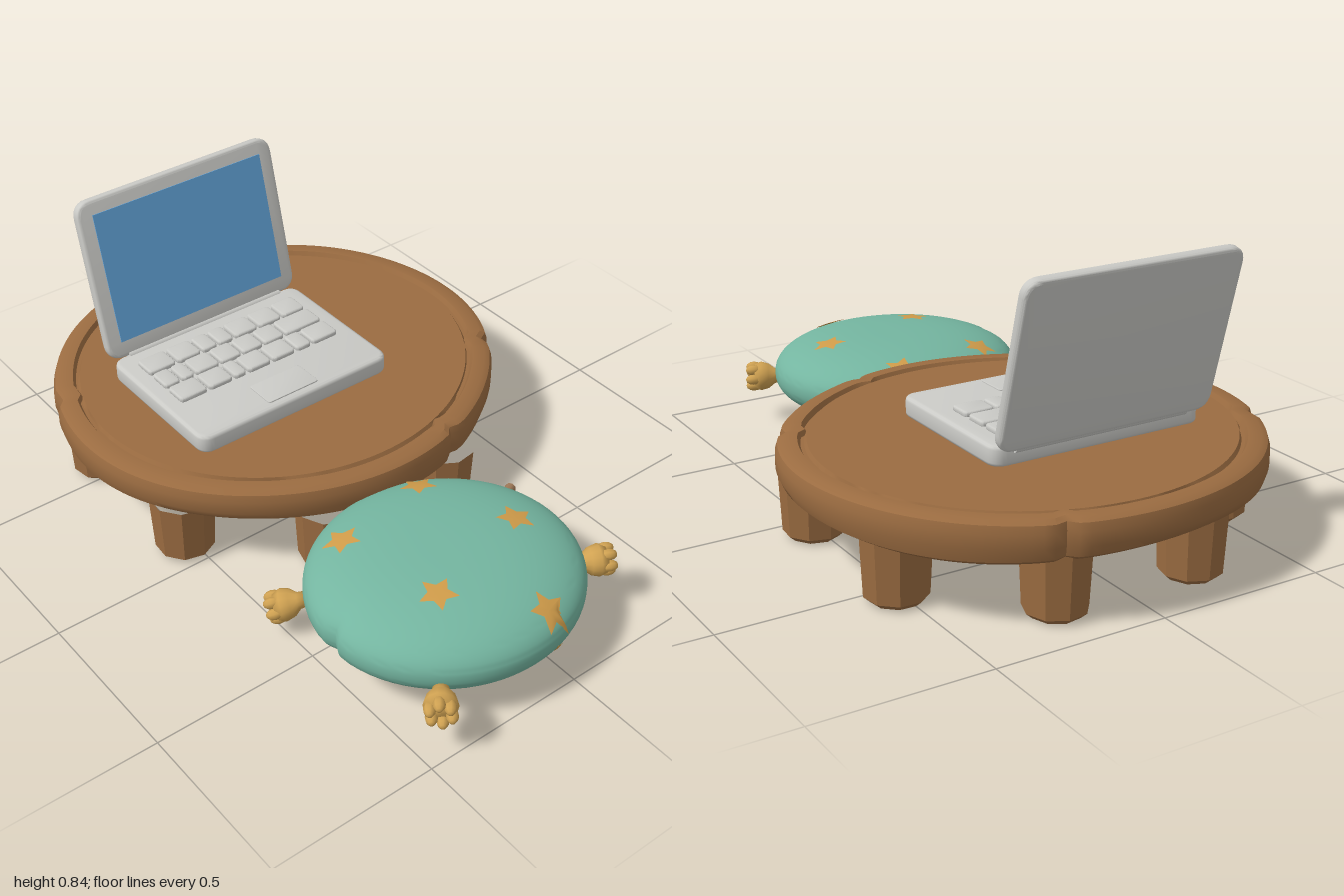
import * as THREE from 'three';
import { toCreasedNormals } from 'three/addons/utils/BufferGeometryUtils.js';

const mat = (name, color, side = THREE.FrontSide) => {
  const m = new THREE.MeshStandardMaterial({ color, side });
  m.name = name;
  return m;
};

export function createModel() {
  const wood = mat('wood', 0x9b6c41);
  const shell = mat('pale grey shell', 0xcacac6);
  const glass = mat('screen blue', 0x64a6dc);
  const fabric = mat('teal fabric', 0x74b5a0);
  const starGold = mat('star gold', 0xd09c4a, THREE.DoubleSide);
  const gold = mat('tassel gold', 0xd0a252);
  const cord = mat('cord brown', 0xa07a58);
  const model = new THREE.Group();

  const add = (parent, name, geometry, material, x = 0, y = 0, z = 0) => {
    const mesh = new THREE.Mesh(geometry, material);
    mesh.name = name;
    mesh.position.set(x, y, z);
    parent.add(mesh);
    return mesh;
  };
  const group = (parent, name, x, y, z) => {
    const g = new THREE.Group();
    g.name = name;
    g.position.set(x, y, z);
    parent.add(g);
    return g;
  };
  const lathe = (pts, segments) =>
    new THREE.LatheGeometry(pts.map(([x, y]) => new THREE.Vector2(x, y)), segments);
  const edit = (geometry, rule) => {
    const p = geometry.attributes.position;
    const v = new THREE.Vector3();
    for (let i = 0; i < p.count; i++) {
      v.fromBufferAttribute(p, i);
      rule(v, i);
      p.setXYZ(i, v.x, v.y, v.z);
    }
    geometry.computeVertexNormals();
    return geometry;
  };

  // Rounded slab centred in x and y, filling z from 0 to depth
  const slab = (w, h, depth, r, bevel) => {
    const a = w / 2 - bevel, b = h / 2 - bevel, s = new THREE.Shape();
    s.moveTo(-a + r, -b);
    s.lineTo(a - r, -b).quadraticCurveTo(a, -b, a, -b + r);
    s.lineTo(a, b - r).quadraticCurveTo(a, b, a - r, b);
    s.lineTo(-a + r, b).quadraticCurveTo(-a, b, -a, b - r);
    s.lineTo(-a, -b + r).quadraticCurveTo(-a, -b, -a + r, -b);
    const g = new THREE.ExtrudeGeometry(s, {
      depth: depth - 2 * bevel, bevelThickness: bevel, bevelSize: bevel,
      bevelSegments: 3, curveSegments: 6,
    });
    g.translate(0, 0, bevel);
    return toCreasedNormals(g, 0.7);
  };

  // ---- Table: grooved round top with a few cracks in the rim ----
  const table = group(model, 'table', 0, 0, -0.35);
  const cracks = [-1.18, -2.776, 0.53, 1.26];
  const top = lathe([
    [0, 0.19], [0.62, 0.19], [0.66, 0.192], [0.68, 0.205], [0.69, 0.235], [0.69, 0.275],
    [0.683, 0.297], [0.665, 0.307], [0.628, 0.307], [0.62, 0.292], [0.61, 0.292],
    [0.603, 0.303], [0, 0.303],
  ], 144);
  edit(top, (v) => {
    const r = Math.hypot(v.x, v.z), a = Math.atan2(v.z, v.x);
    if (r > 0.61) {
      let k = 1 + 0.004 * Math.sin(5 * a) - 0.004;
      for (const c of cracks) k -= 0.03 * Math.exp(-(((a - c) / 0.03) ** 2));
      v.x *= k;
      v.z *= k;
      if (v.y < 0.21) v.y += 0.008 * Math.sin(3 * a + 0.5);
    }
    v.z *= 0.65 / 0.69;
  });
  add(table, 'tableTop', toCreasedNormals(top, 0.6), wood);

  // Eight chunky legs in a ring and one in the middle
  const legGeometry = toCreasedNormals(
    lathe([[0, 0.004], [0.07, 0.004], [0.088, 0.02], [0.097, 0.2]], 9), 0.3);
  const leg = (x, z) => {
    const m = add(table, 'leg', legGeometry, wood, x, 0, z);
    m.rotation.y = x * 3 + z;
    return m;
  };
  for (const sx of [-1, 1]) {
    leg(sx * 0.52, 0.26);
    leg(sx * 0.52, -0.205);
    leg(sx * 0.215, 0.55);
    leg(sx * 0.215, -0.48);
  }
  const middle = leg(0, 0.04);
  middle.scale.set(0.92, 0.9, 0.92);
  middle.position.y = 0.02;

  // ---- Laptop ----
  const laptop = group(model, 'laptop', -0.105, 0.3, -0.325);
  add(laptop, 'laptopBase', slab(0.68, 0.49, 0.06, 0.03, 0.012), shell).rotation.x = -Math.PI / 2;
  const hinge = add(laptop, 'hinge', new THREE.CylinderGeometry(0.016, 0.016, 0.56, 12), shell, 0, 0.052, -0.243);
  hinge.rotation.z = Math.PI / 2;

  // Keys in three rows of uneven widths
  const rows = [
    [0.1, 0.09, 0.06, 0.06, 0.09, 0.09, 0.09],
    [0.06, 0.05, 0.09, 0.08, 0.08, 0.08, 0.14],
    [0.1, 0.09, 0.05, 0.09, 0.09, 0.06, 0.1],
  ];
  rows.forEach((widths, row) => {
    let x = -0.293;
    for (const w of widths) {
      const key = add(laptop, 'key', slab(w - 0.008, 0.076, 0.018, 0.008, 0.005), shell,
        x + w / 2, 0.056, -0.143 + row * 0.084);
      key.rotation.x = -Math.PI / 2;
      x += w;
    }
  });
  const pad = add(laptop, 'trackpad', slab(0.18, 0.1, 0.007, 0.008, 0.002), shell, 0, 0.057, 0.17);
  pad.rotation.x = -Math.PI / 2;

  // Tilted lid with the screen plate
  const lid = group(laptop, 'lid', 0, 0.052, -0.236);
  lid.rotation.x = -0.25;
  add(lid, 'lidShell', slab(0.69, 0.505, 0.034, 0.04, 0.01), shell, 0, 0.2575, -0.034);
  add(lid, 'screen', new THREE.BoxGeometry(0.595, 0.408, 0.004), glass, 0, 0.261, 0.001);

  // ---- Cushion ----
  const RX = 0.397, RZ = 0.372, H = 0.121;
  const puff = (rho) => H * Math.pow(Math.max(0, 1 - Math.pow(rho, 2.6)), 1 / 2.3);
  const cushion = group(model, 'cushion', -0.138, 0.174, 0.622);
  const profile = [];
  const steps = 24;
  for (let i = -steps; i <= steps; i++) {
    const rho = Math.pow(Math.cos((i / steps) * Math.PI / 2), 0.8);
    profile.push([Math.abs(i) === steps ? 0 : rho, Math.sign(i) * puff(rho)]);
  }
  const body = lathe(profile, 72);
  edit(body, (v) => {
    const a = Math.atan2(v.z, v.x), r = Math.hypot(v.x, v.z);
    const off = Math.PI - Math.abs(a);
    const k = 1 - 0.05 * Math.exp(-((off / 0.06) ** 2)) * r ** 6;
    v.x *= RX * k;
    v.z *= RZ * k;
  });
  add(cushion, 'cushionBody', toCreasedNormals(body, 1.5), fabric);

  // Stars draped just over the cloth, on both faces
  const star = (x, z, turn, side) => {
    const g = new THREE.RingGeometry(0.0001, 0.056, 10, 5);
    edit(g, (v, i) => {
      const k = (i % 11) % 2 ? 0.5 : 1;
      const px = x + k * (v.x * Math.cos(turn) - v.y * Math.sin(turn));
      const pz = z - side * k * (v.x * Math.sin(turn) + v.y * Math.cos(turn));
      const rho = Math.hypot(px / RX, pz / RZ);
      v.set(px * 1.008, side * (puff(rho) * 1.02 + 0.001), pz * 1.008);
    });
    add(cushion, 'star', g, starGold);
  };
  const spots = [[-0.19, -0.21, 0.2], [0.122, -0.262, 0.3], [0.228, 0.023, 0.1], [-0.134, 0.123, 0.45], [0.082, 0.315, 0.3]];
  for (const side of [1, -1]) for (const [x, z, turn] of spots) star(x, z, turn, side);

  // Tassels: a knotted bud ending in a ring of stubby strands
  const bud = lathe([[0, -0.01], [0.022, -0.01], [0.024, 0.01], [0.04, 0.03], [0.047, 0.055], [0.04, 0.075], [0, 0.08]], 14);
  const strand = new THREE.SphereGeometry(0.017, 8, 6);
  const tassel = (x, y, z, dip) => {
    const t = group(cushion, 'tassel', x, y, z);
    const out = new THREE.Vector3(x / RX, dip, z / RZ).normalize();
    t.quaternion.setFromUnitVectors(new THREE.Vector3(0, 1, 0), out);
    add(t, 'tasselBud', bud, gold);
    for (let i = 0; i < 6; i++) {
      const a = (i / 6) * Math.PI * 2;
      add(t, 'tasselStrand', strand, gold, 0.031 * Math.cos(a), 0.078, 0.031 * Math.sin(a)).scale.y = 1.5;
    }
  };
  tassel(-0.32, -0.06, -0.222, -0.35);
  tassel(-0.256, -0.03, 0.283, 0);
  tassel(0.347, -0.02, 0.165, 0);

  // Bare cord where the fourth tassel is missing
  const stub = add(cushion, 'cordStub', new THREE.CylinderGeometry(0.016, 0.02, 0.07, 8), cord, 0.375, -0.008, -0.163);
  stub.quaternion.setFromUnitVectors(new THREE.Vector3(0, 1, 0), new THREE.Vector3(0.9, 0, -0.44).normalize());

  return model;
}
